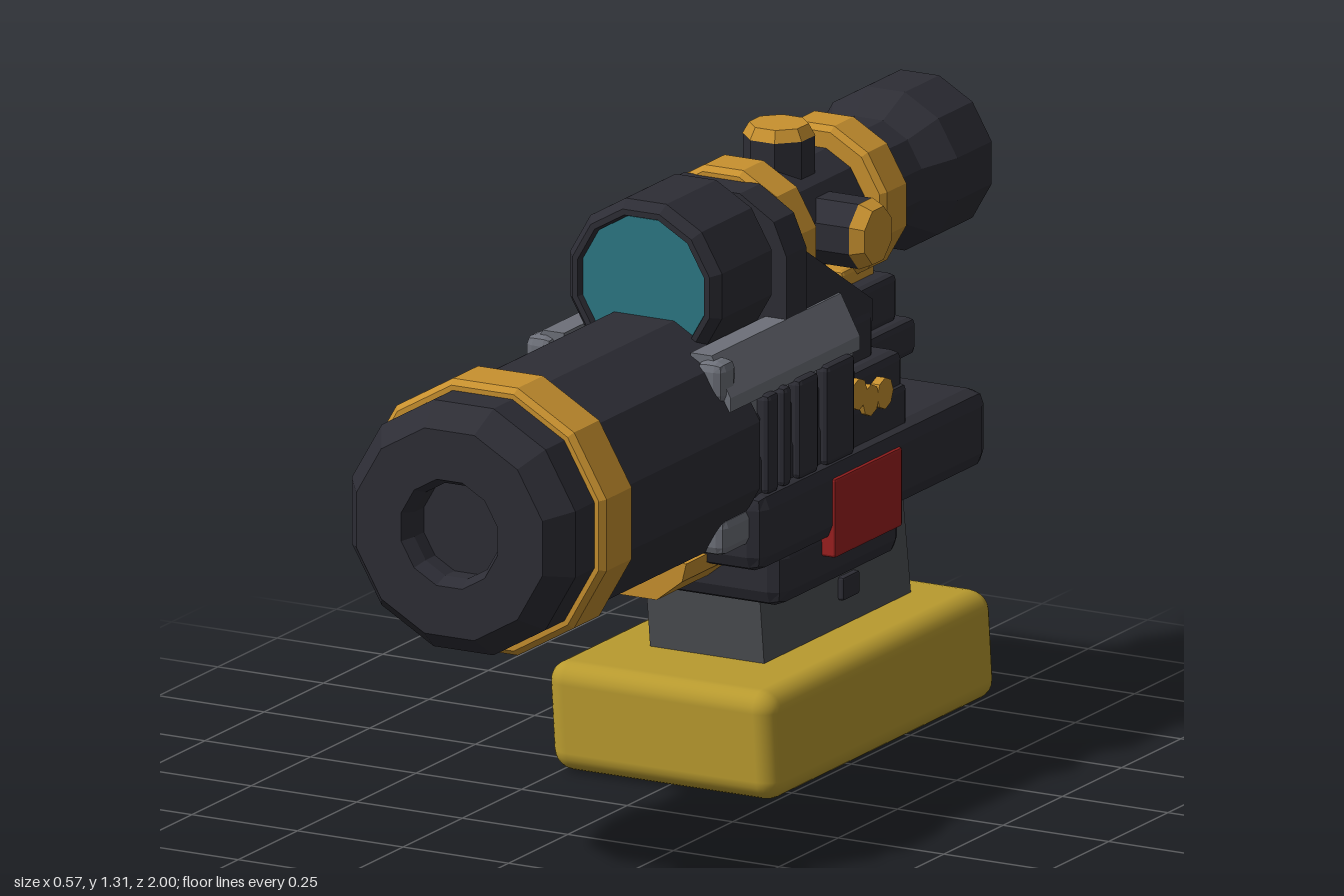
import * as THREE from 'three';
import { RoundedBoxGeometry } from 'three/addons/geometries/RoundedBoxGeometry.js';

const mat = (name, color) => new THREE.MeshStandardMaterial({ name, color });

export function createModel() {
  const model = new THREE.Group();
  const dark = mat('darkMetal', 0x2d2d35);
  const gold = mat('goldTrim', 0xc8912f);
  const yellow = mat('yellowBase', 0xb99b2f);
  const red = mat('redPanel', 0x9c2020);
  const teal = mat('tealLens', 0x2c7884);
  const grey = mat('greyRail', 0x6d7079);
  const gripGrey = mat('gripGrey', 0x4e5155);

  const add = (name, geo, material) => {
    const mesh = new THREE.Mesh(geo, material);
    mesh.name = name;
    model.add(mesh);
    return mesh;
  };
  // faceted normals for the low-poly parts
  const facet = (geo) => {
    const g = geo.index ? geo.toNonIndexed() : geo;
    g.computeVertexNormals();
    return g;
  };
  // chamfered box given by its extents
  const block = (name, x0, x1, y0, y1, z0, z1, material, bevel = 0.015) => {
    const geo = new RoundedBoxGeometry(x1 - x0, y1 - y0, z1 - z0, 1, bevel);
    const m = add(name, facet(geo), material);
    m.position.set((x0 + x1) / 2, (y0 + y1) / 2, (z0 + z1) / 2);
    return m;
  };
  // turned part along z; the profile lists [radius, z] from back to front
  const turned = (name, profile, y, material, sides = 12) => {
    const pts = profile.map(([r, z]) => new THREE.Vector2(r, z));
    const geo = new THREE.LatheGeometry(pts, sides, Math.PI / sides).rotateX(Math.PI / 2);
    add(name, facet(geo), material).position.y = y;
  };
  // chamfered band between two z positions
  const band = (name, r, z0, z1, y, c, material) =>
    turned(name, [[0, z0], [r - c, z0], [r, z0 + c], [r, z1 - c], [r - c, z1], [0, z1]], y, material);
  // side outline in [z, y], extruded from x0 to x1
  const sidePlate = (name, outline, x0, x1, material) => {
    const shape = new THREE.Shape(outline.map(([z, y]) => new THREE.Vector2(-z, y)));
    const geo = new THREE.ExtrudeGeometry(shape, { depth: x1 - x0, bevelEnabled: false });
    add(name, facet(geo.rotateY(Math.PI / 2).translate(x0, 0, 0)), material);
  };
  // front outline in [x, y], extruded from z0 to z1
  const crossSection = (name, outline, z0, z1, material) => {
    const shape = new THREE.Shape(outline.map(([x, y]) => new THREE.Vector2(x, y)));
    const geo = new THREE.ExtrudeGeometry(shape, { depth: z1 - z0, bevelEnabled: false });
    add(name, facet(geo.translate(0, 0, z0)), material);
  };

  // main barrel with a recessed muzzle
  turned('barrel', [[0, -0.28], [0.25, -0.28], [0.25, 0.16], [0.274, 0.16], [0.274, 0.94], [0.228, 1],
    [0.118, 1], [0.103, 0.97], [0.103, 0.93], [0, 0.93]], 0.77, dark);
  band('barrelRing', 0.297, 0.73, 0.86, 0.77, 0.012, gold);

  // base magazine pad, with its ends leaning like the grip
  const pad = new RoundedBoxGeometry(0.54, 0.24, 0.95, 3, 0.045);
  const p = pad.attributes.position;
  for (let i = 0; i < p.count; i++) p.setZ(i, p.getZ(i) + p.getY(i) * 0.1);
  pad.computeBoundingBox();
  add('basePad', pad, yellow).position.set(0, 0.122, -0.36);

  // grip and its side buttons
  sidePlate('grip', [[-0.09, 0.22], [-0.05, 0.54], [-0.66, 0.54], [-0.71, 0.22]], -0.135, 0.135, gripGrey);
  block('gripButtons', -0.148, 0.148, 0.3, 0.35, -0.47, -0.4, dark, 0.005);

  // frame
  block('lowerFrame', -0.245, 0.245, 0.4, 0.54, -0.48, 0.035, dark, 0.035);
  block('mainFrame', -0.27, 0.27, 0.51, 0.68, -0.8, 0.165, dark, 0.035);
  crossSection('underBarrelLug', [[-0.14, 0.54], [-0.13, 0.5], [-0.07, 0.453], [0.07, 0.453], [0.13, 0.5], [0.14, 0.54]],
    -0.02, 0.25, gold);

  // receiver
  block('receiver', -0.2, 0.2, 0.62, 0.96, -0.3, 0.165, dark);
  block('receiverStep', -0.245, 0.245, 0.66, 0.76, -0.5, 0.165, dark);
  block('receiverRear', -0.2, 0.2, 0.66, 0.93, -0.44, -0.28, dark, 0.02);
  block('rearLowerSlab', -0.165, 0.165, 0.765, 0.845, -0.68, -0.42, dark);
  block('rearUpperSlab', -0.14, 0.14, 0.84, 0.945, -0.645, -0.4, dark);
  block('rearPost', -0.14, 0.14, 0.66, 0.8, -0.56, -0.4, dark);
  block('scopeRail', -0.1, 0.1, 0.92, 1.0, -0.44, -0.05, dark);
  block('rearClamp', -0.1, 0.1, 0.93, 0.98, -0.62, -0.48, gold, 0.01);
  block('frontClamp', -0.1, 0.1, 0.93, 1.0, -0.25, -0.15, gold, 0.01);

  for (const s of [-1, 1]) {
    const side = s > 0 ? 'left' : 'right';
    const span = (a, b) => (s > 0 ? [a, b] : [-b, -a]);

    // red panels on the frame
    block(side + 'RedPanel', ...span(0.24, 0.277), 0.475, 0.645, -0.42, -0.135, red, 0.006);

    // grey upper rail, lower rail stub and side panel
    crossSection(side + 'UpperRail',
      [[0.15, 0.88], [0.245, 0.88], [0.245, 0.91], [0.2, 0.995], [0.15, 0.995]].map(([x, y]) => [s * x, y]),
      -0.295, 0.25, grey);
    block(side + 'UpperRailTip', ...span(0.17, 0.235), 0.895, 0.985, 0.2, 0.27, grey, 0.02);
    block(side + 'LowerRail', ...span(0.16, 0.24), 0.57, 0.65, 0.05, 0.27, grey, 0.02);
    block(side + 'SidePanel', ...span(0.19, 0.235), 0.66, 0.9, -0.29, 0.17, grey, 0.006);

    // cooling ribs
    for (const [z, w] of [[0.095, 0.05], [0.035, 0.035], [-0.055, 0.085], [-0.19, 0.12]]) {
      block(side + 'Rib', ...span(0.2, 0.262), 0.67, 0.885, z - w / 2, z + w / 2, dark, 0.012);
    }
    block(side + 'RearHousing', ...span(0.15, 0.235), 0.67, 0.83, -0.5, -0.26, dark, 0.02);

    // gold controls
    for (const [y, z, r] of [[0.79, -0.275, 0.034], [0.765, -0.325, 0.034], [0.765, -0.385, 0.034]]) {
      const knob = add(side + 'Control', facet(new THREE.CylinderGeometry(r, r, 0.06, 8, 1)), gold);
      knob.rotation.z = Math.PI / 2;
      knob.position.set(s * 0.225, y, z);
    }

    // sloping scope bracket
    sidePlate(side + 'ScopeBracket', [[-0.07, 0.9], [-0.44, 0.9], [-0.44, 0.945], [-0.155, 1.12], [-0.07, 1.12]],
      ...span(0.145, 0.195), dark);
  }

  // scope collar
  crossSection('scopeCollar', [[-0.2, 0.95], [0.2, 0.95], [0.2, 1.13], [0.17, 1.2], [0.09, 1.25],
    [-0.09, 1.25], [-0.17, 1.2], [-0.2, 1.13]], -0.15, -0.065, dark);

  // scope body with flared ends
  const axis = 1.1;
  turned('scopeBody', [[0, -0.975], [0.125, -0.975], [0.135, -1], [0.165, -1], [0.176, -0.985], [0.176, -0.84],
    [0.129, -0.77], [0.129, -0.1], [0.165, -0.065], [0.186, -0.04], [0.186, 0.17], [0.168, 0.192],
    [0.155, 0.192], [0.15, 0.175], [0, 0.175]], axis, dark);
  turned('frontLens', [[0, 0.172], [0.15, 0.172], [0.15, 0.179], [0, 0.179]], axis, teal);
  turned('rearLens', [[0, -0.981], [0.127, -0.981], [0.127, -0.974], [0, -0.974]], axis, teal);
  band('rearScopeRing', 0.177, -0.635, -0.53, axis, 0.012, gold);
  band('frontScopeRing', 0.177, -0.255, -0.145, axis, 0.012, gold);

  // adjustment turrets on the top and the left side
  const turret = (name, angle, length, capEnd) => {
    const group = new THREE.Group();
    group.name = name;
    const knob = new THREE.Mesh(facet(new THREE.CylinderGeometry(0.075, 0.075, length, 8)), dark);
    knob.name = 'turretKnob';
    knob.position.y = length / 2;
    const capHeight = capEnd - length;
    const cap = new THREE.Mesh(facet(new THREE.CylinderGeometry(0.062, 0.076, capHeight, 8)), gold);
    cap.name = 'turretCap';
    cap.position.y = length + capHeight / 2;
    for (const part of [knob, cap]) part.rotation.y = Math.PI / 8;
    group.add(knob, cap);
    group.position.set(0, axis, -0.39);
    group.rotation.z = angle;
    model.add(group);
  };
  turret('topTurret', 0, 0.185, 0.21);
  turret('sideTurret', -Math.PI / 2, 0.205, 0.235);

  return model;
}
